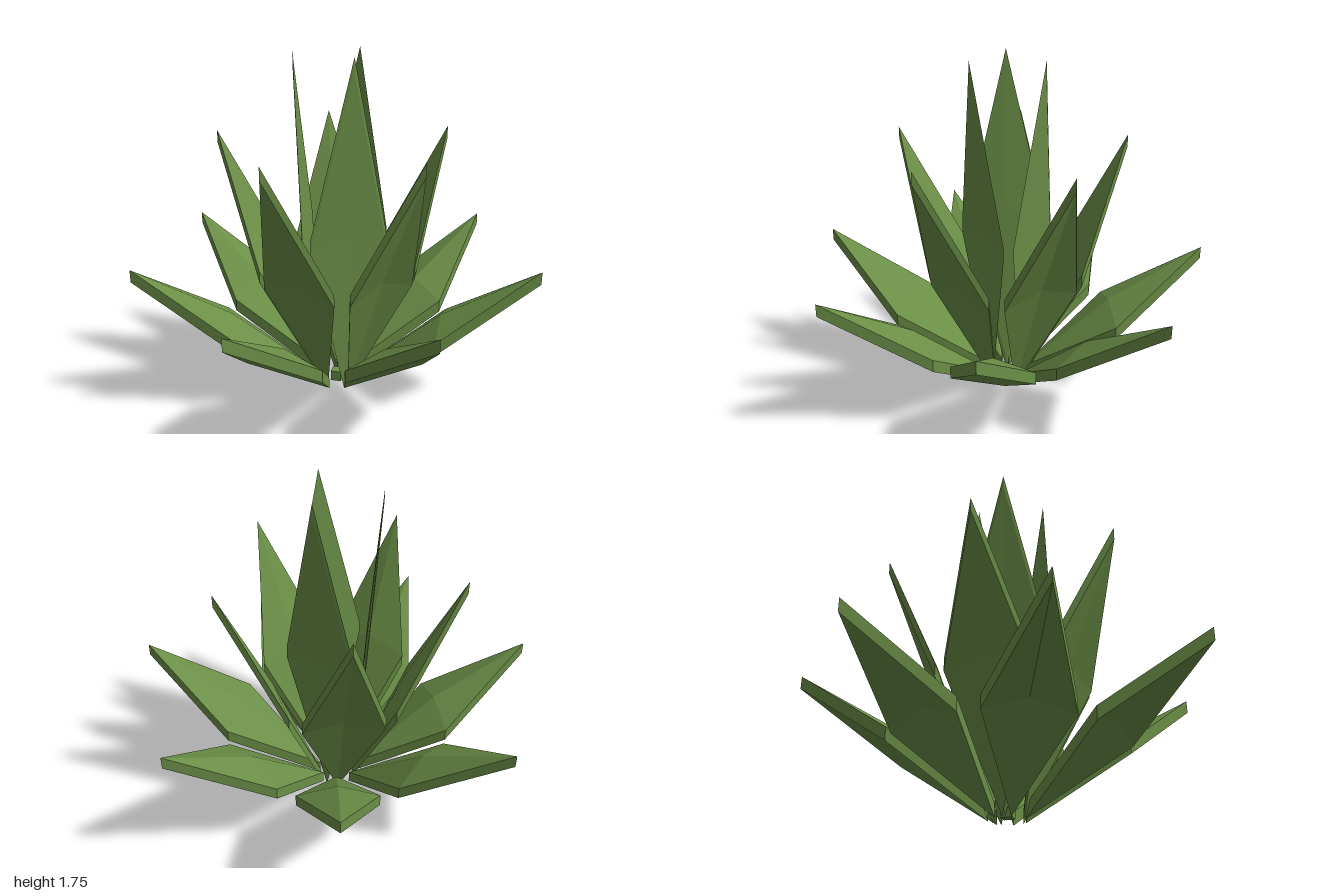
import * as THREE from 'three';

const THICK = 0.065; // vertical thickness of a leaf
const RIDGE = 0.065; // rise of the middle of a leaf above its rim

// Diamond leaf pointing along +x: a rim of four points, a raised centre, and a vertical edge band
function leafGeometry(reach, height) {
  const base = 0.09, t = 0.485, half = 0.205;
  const midX = base + (reach - base) * t, midY = height * t;
  const rim = [[reach, height, 0], [midX, midY, -half], [base, 0, 0], [midX, midY, half]];
  const centre = [midX, midY + RIDGE, 0];
  const up = ([x, y, z]) => [x, y + THICK, z];
  const points = [];
  rim.forEach((a, i) => {
    const b = rim[(i + 1) % 4];
    points.push(up(centre), up(a), up(b)); // upper face
    points.push(centre, b, a); // lower face
    points.push(a, b, up(b), a, up(b), up(a)); // edge band
  });
  const geometry = new THREE.BufferGeometry();
  geometry.setAttribute('position', new THREE.Float32BufferAttribute(points.flat(), 3));
  geometry.computeVertexNormals();
  return geometry;
}

export function createModel() {
  const model = new THREE.Group();
  model.name = 'spikyPlant';
  const green = new THREE.MeshStandardMaterial({ color: 0x6b8f47, flatShading: true });
  green.name = 'leafGreen';

  const plant = new THREE.Group();
  plant.name = 'rosette';
  plant.position.x = -0.054;
  model.add(plant);

  // Three tiers, from the low spreading leaves to the upright inner ones
  const tiers = [
    { name: 'outerLeaf', count: 7, start: 0, reach: 1.025, height: 0.67 },
    { name: 'middleLeaf', count: 5, start: Math.PI / 5, reach: 0.615, height: 1.28 },
    { name: 'innerLeaf', count: 3, start: 0.895, reach: 0.205, height: 1.69 },
  ];
  for (const { name, count, start, reach, height } of tiers) {
    const geometry = leafGeometry(reach, height);
    for (let i = 0; i < count; i++) {
      const leaf = new THREE.Mesh(geometry, green);
      leaf.name = name + (i + 1);
      leaf.rotation.y = -(start + (i * 2 * Math.PI) / count);
      plant.add(leaf);
    }
  }

  // Small block at the heart of the plant
  const core = new THREE.Mesh(new THREE.BoxGeometry(0.055, 0.055, 0.055), green);
  core.name = 'core';
  core.position.y = 0.04;
  plant.add(core);

  return model;
}
